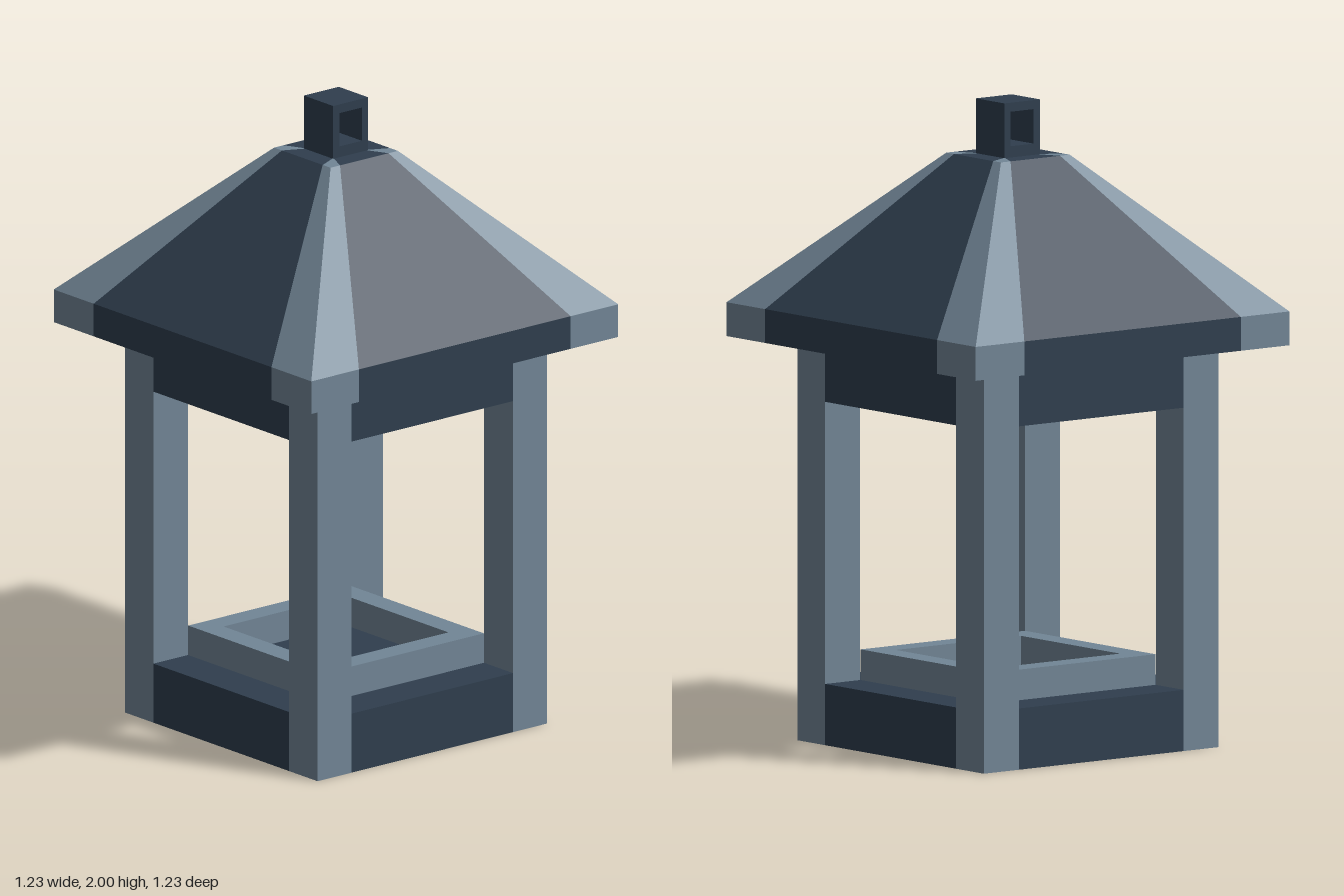
import * as THREE from 'three';

const darkMetal = new THREE.MeshStandardMaterial({ name: 'dark slate', color: 0x2f3e4e });
const lightMetal = new THREE.MeshStandardMaterial({ name: 'light slate', color: 0x728696 });
darkMetal.flatShading = lightMetal.flatShading = true;

const OUTER = 0.46, INNER = 0.323;

function add(group, name, geometry, material) {
  const mesh = new THREE.Mesh(geometry, material);
  mesh.name = name;
  group.add(mesh);
  return mesh;
}

const polygon = (pts) => pts.map(([x, y]) => new THREE.Vector2(x, y));
const rect = (x, y0, y1) => polygon([[-x, y0], [x, y0], [x, y1], [-x, y1]]);

// Outline extruded upwards from y0 to y1
function slab(shape, y0, y1) {
  const g = new THREE.ExtrudeGeometry(shape, { depth: y1 - y0, bevelEnabled: false });
  return g.rotateX(-Math.PI / 2).translate(0, y0, 0);
}

// Square plate with its corners left out for the posts
function notchedSquare() {
  const o = OUTER, i = INNER;
  return new THREE.Shape(polygon([
    [-i, -o], [i, -o], [i, -i], [o, -i], [o, i], [i, i],
    [i, o], [-i, o], [-i, i], [-o, i], [-o, -i], [-i, -i]]));
}

// Roof rings: half width, height, share of the side that is dark
const roofRings = [
  [OUTER, 1.25, 0.7], [0.615, 1.25, 0.69], [0.615, 1.355, 0.69],
  [0.135, 1.83, 0.72], [0.07, 1.83, 0.95]];

// One band of quads on all four roof sides; edge(split) gives its ends from -1 to 1
function roofBand(edges) {
  const pos = [];
  for (let side = 0; side < 4; side++) {
    const turn = side * Math.PI / 2;
    for (const edge of edges) {
      const rows = roofRings.map(([r, y, split]) => edge(split).map((u) =>
        new THREE.Vector3(u * r, y, r).applyAxisAngle(new THREE.Vector3(0, 1, 0), turn)));
      for (let i = 0; i < rows.length - 1; i++) {
        const [a, b] = rows[i], [d, c] = rows[i + 1];
        for (const p of [a, b, c, a, c, d]) pos.push(p.x, p.y, p.z);
      }
    }
  }
  const g = new THREE.BufferGeometry();
  g.setAttribute('position', new THREE.Float32BufferAttribute(pos, 3));
  g.computeVertexNormals();
  return g;
}

export function createModel() {
  const lantern = new THREE.Group();
  lantern.name = 'lantern';

  // Base and upper block
  add(lantern, 'base', slab(notchedSquare(), 0, 0.19), darkMetal);
  add(lantern, 'upperBlock', slab(notchedSquare(), 1.065, 1.25), darkMetal);

  // Corner posts
  const w = OUTER - INNER, mid = (OUTER + INNER) / 2;
  for (const sx of [-1, 1]) {
    for (const sz of [-1, 1]) {
      const name = (sz > 0 ? 'front' : 'back') + (sx > 0 ? 'Left' : 'Right') + 'Post';
      add(lantern, name, new THREE.BoxGeometry(w, 1.25, w), lightMetal)
        .position.set(sx * mid, 0.625, sz * mid);
    }
  }

  // Raised frame on the base
  const frame = new THREE.Shape(rect(0.322, -0.322, 0.322));
  frame.holes.push(new THREE.Path(rect(0.245, -0.245, 0.245)));
  add(lantern, 'trayFrame', slab(frame, 0.19, 0.285), lightMetal);

  // Roof: dark panels with light corner strips
  add(lantern, 'roofPanels', roofBand([(s) => [-s, s]]), darkMetal);
  add(lantern, 'roofCorners', roofBand([(s) => [-1, -s], (s) => [s, 1]]), lightMetal);

  // Hanging loop
  const loop = new THREE.Shape(rect(0.07, 1.83, 2));
  loop.holes.push(new THREE.Path(rect(0.045, 1.865, 1.972)));
  const loopGeometry = new THREE.ExtrudeGeometry(loop, { depth: 0.14, bevelEnabled: false });
  add(lantern, 'hangingLoop', loopGeometry.translate(0, 0, -0.07), darkMetal);

  return lantern;
}
